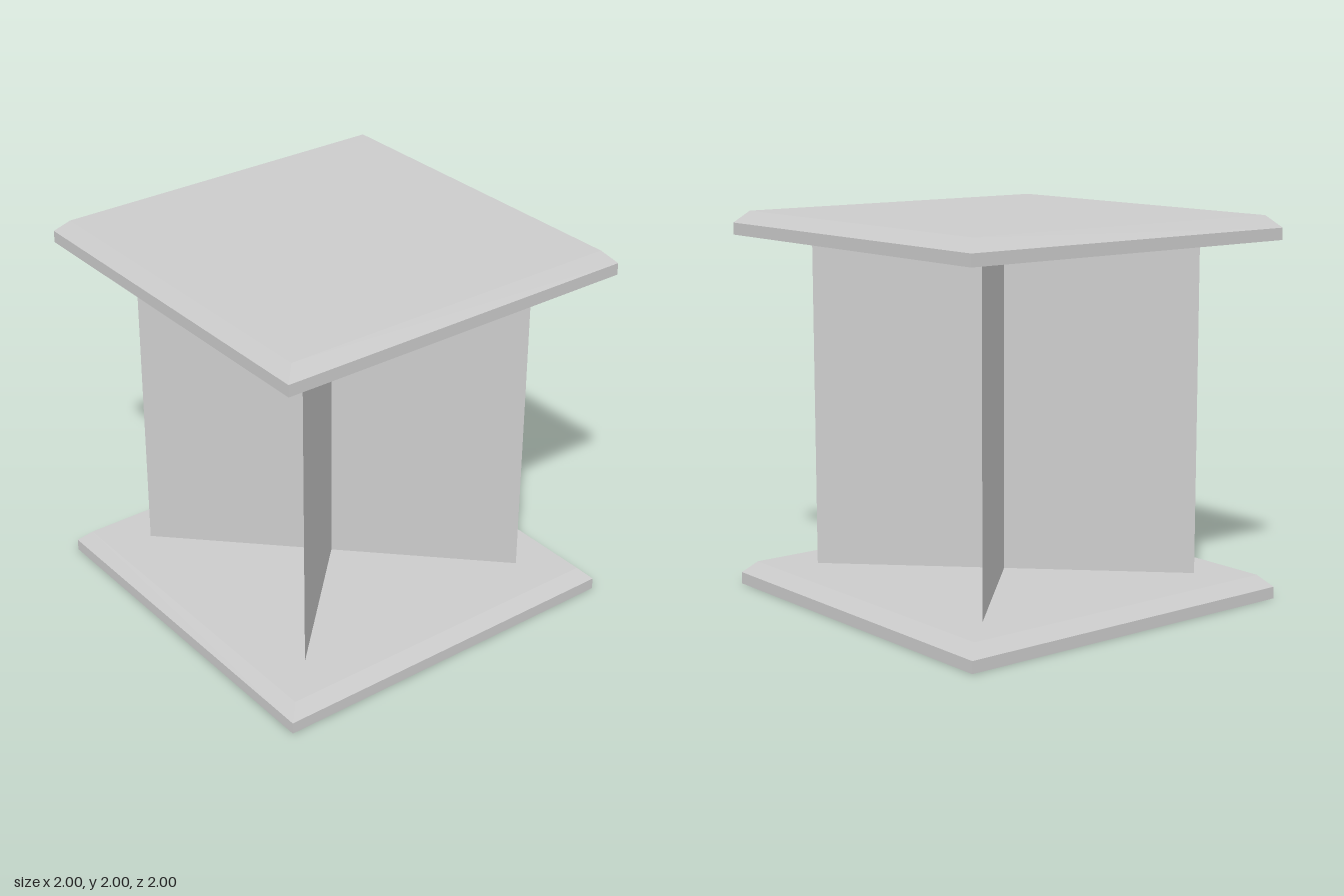
import * as THREE from 'three';

const PLATE = 0.125; // plate thickness
const BEVEL = 0.0625;

// Square plate with a chamfered upper edge: a four-sided lathe turned to face the axes
function plateGeometry() {
  const profile = [[0, 0], [1, 0], [1, PLATE - BEVEL], [1 - BEVEL, PLATE], [0, PLATE]]
    .map(([r, y]) => new THREE.Vector2(r * Math.SQRT2, y));
  const geometry = new THREE.LatheGeometry(profile, 4, Math.PI / 4).toNonIndexed();
  geometry.computeVertexNormals();
  return geometry;
}

export function createModel() {
  const model = new THREE.Group();
  model.name = 'crossColumn';
  const solid = new THREE.MeshStandardMaterial({ color: 0xcccccc, flatShading: true });
  const sheet = new THREE.MeshStandardMaterial({ color: 0xcccccc, side: THREE.DoubleSide });

  // Base and top plates, both with the chamfer upwards
  const plate = plateGeometry();
  for (const [name, y] of [['basePlate', 0], ['topPlate', 2 - PLATE]]) {
    const mesh = new THREE.Mesh(plate, solid);
    mesh.name = name;
    mesh.position.y = y;
    model.add(mesh);
  }

  // Two thin upright panels crossing on the diagonals
  const panel = new THREE.PlaneGeometry(2, 2 - 2 * PLATE);
  for (const [name, turn] of [['diagonalPanelA', 1], ['diagonalPanelB', -1]]) {
    const mesh = new THREE.Mesh(panel, sheet);
    mesh.name = name;
    mesh.position.y = 1;
    mesh.rotation.y = turn * Math.PI / 4;
    model.add(mesh);
  }
  return model;
}
